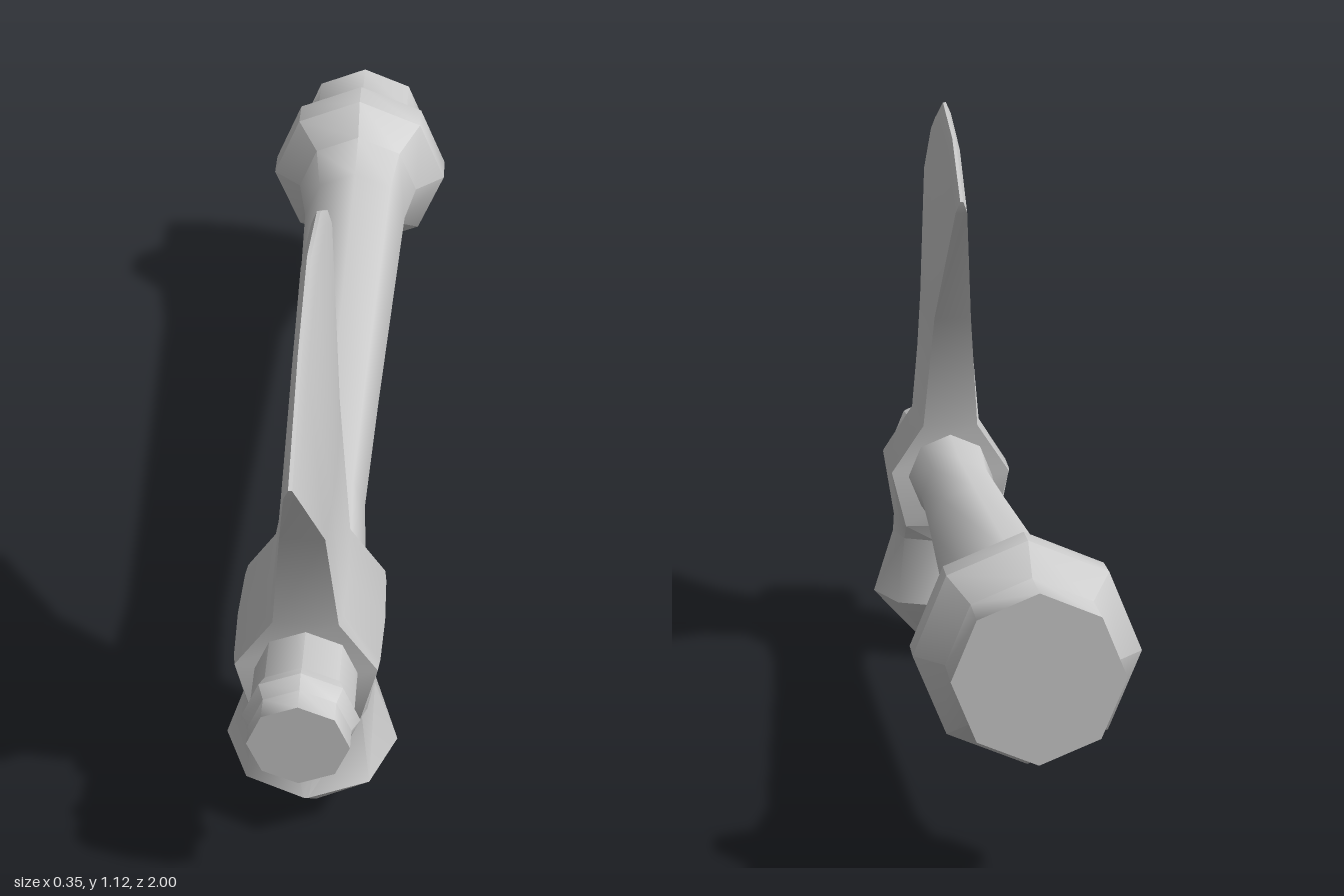
import * as THREE from 'three';
import { toCreasedNormals } from 'three/addons/utils/BufferGeometryUtils.js';

const AXIS_Y = 0.377, HEAD_Z = 0.61;

// Eight-sided turned shaft, profile given as [radius, z]
function handleGeometry() {
  const profile = [
    [0, -1], [0.132, -1], [0.132, -0.905], [0.177, -0.85], [0.177, -0.79],
    [0.121, -0.74], [0.102, -0.63], [0.081, 0], [0.073, 0.3], [0.085, 0.5],
    [0.085, 0.82], [0.096, 0.845], [0.083, 0.87], [0.083, 0.91], [0, 0.91],
  ].map(([r, z]) => new THREE.Vector2(r, z));
  return new THREE.LatheGeometry(profile, 8).rotateX(Math.PI / 2);
}

// Head lofted upward; each row has five columns from front to back, mirrored in x
function headGeometry() {
  const even = (y, half, quarter, edge, q, mid) => ({
    y: Array(5).fill(y),
    z: [half, quarter, 0, -quarter, -half],
    x: [edge, q, mid, q, edge],
  });
  const crest = [0.97, 1.07, 1.115, 1.06, 0.955];
  const fan = [0.39, 0.19, 0, -0.21, -0.375];
  const rows = [
    even(0, 0.042, 0.03, 0.01, 0.03, 0.042), // base of the poll
    even(0.113, 0.153, 0.108, 0.004, 0.105, 0.148), // widest part of the poll
    even(0.24, 0.11, 0.08, 0.03, 0.09, 0.108), // neck
    even(0.275, 0.125, 0.1, 0.09, 0.1, 0.106), // eye around the shaft
    even(0.385, 0.125, 0.1, 0.118, 0.121, 0.124),
    even(0.48, 0.125, 0.1, 0.054, 0.06, 0.062),
    even(0.705, 0.18, 0.09, 0.036, 0.041, 0.043), // blade shoulders
    { y: crest.map(y => y - 0.022), z: fan.map(z => z * 0.98), x: [0.011, 0.012, 0.013, 0.012, 0.011] },
    { y: crest, z: fan, x: Array(5).fill(0.003) }, // cutting edge
  ];
  const pos = [], index = [], N = 10;
  for (const row of rows) {
    for (let k = 0; k < N; k++) {
      const j = k < 5 ? k : 9 - k;
      pos.push(k < 5 ? row.x[j] : -row.x[j], row.y[j], row.z[j] + HEAD_Z);
    }
  }
  const quad = (a, b, c, d) => index.push(a, b, c, a, c, d);
  for (let i = 0; i < rows.length - 1; i++) {
    for (let k = 0; k < N; k++) {
      const n = (k + 1) % N;
      quad(i * N + k, i * N + n, (i + 1) * N + n, (i + 1) * N + k);
    }
  }
  // End caps
  const top = (rows.length - 1) * N;
  for (let j = 0; j < 4; j++) {
    quad(top + j, top + j + 1, top + 8 - j, top + 9 - j);
    quad(9 - j, 8 - j, j + 1, j);
  }
  const geo = new THREE.BufferGeometry();
  geo.setAttribute('position', new THREE.Float32BufferAttribute(pos, 3));
  geo.setIndex(index);
  return geo;
}

export function createModel() {
  const group = new THREE.Group();
  group.name = 'axe';
  const material = new THREE.MeshStandardMaterial({ color: 0xcccccc });
  const add = (name, geo, y = 0) => {
    const mesh = new THREE.Mesh(toCreasedNormals(geo, 0.85), material);
    mesh.name = name;
    mesh.position.y = y;
    group.add(mesh);
  };
  add('handle', handleGeometry(), AXIS_Y);
  add('axeHead', headGeometry());
  return group;
}
